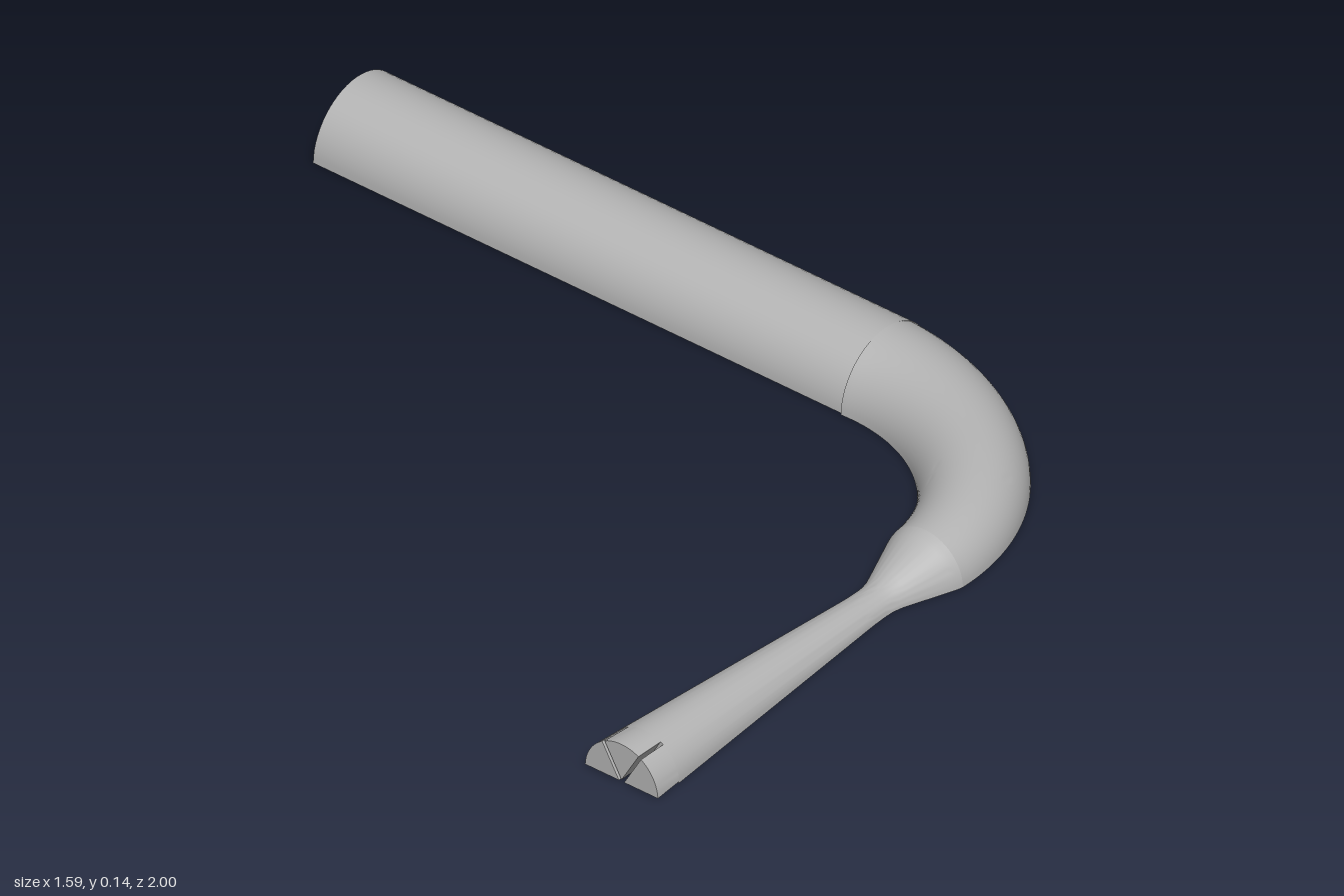
import * as THREE from 'three';
import { toCreasedNormals } from 'three/addons/utils/BufferGeometryUtils.js';

const SEG = 28;
const AXIS_Z = 0.895;

// Flat-bottomed half circle outline, as [sideways, up] pairs
function halfDisc(r) {
  return Array.from({ length: SEG + 1 }, (_, i) => {
    const a = (i / SEG) * Math.PI;
    return [r * Math.cos(a), r * Math.sin(a)];
  });
}

// Sixth of a disc, inset by h on its straight edges so that slots remain between neighbours
function wedge(r, start, h) {
  const inset = Math.asin(h / r);
  const mid = start + Math.PI / 6;
  const points = [[2 * h * Math.cos(mid), 2 * h * Math.sin(mid)]];
  for (let i = 0; i <= 10; i++) {
    const a = start + inset + (i / 10) * (Math.PI / 3 - 2 * inset);
    points.push([r * Math.cos(a), r * Math.sin(a)]);
  }
  return points;
}

// Place an outline at (x, z) with its sideways direction along (nx, nz)
function place(outline, x, z, nx, nz) {
  return outline.map(([s, y]) => [x + nx * s, y, z + nz * s]);
}

// Join closed cross-sections into a capped solid
function loft(sections) {
  const pos = [];
  const tri = (a, b, c) => pos.push(...a, ...b, ...c);
  const n = sections[0].length;
  for (let i = 0; i < sections.length - 1; i++) {
    const A = sections[i], B = sections[i + 1];
    for (let j = 0; j < n; j++) {
      const k = (j + 1) % n;
      tri(A[j], B[j], A[k]);
      tri(A[k], B[j], B[k]);
    }
  }
  const first = sections[0], last = sections[sections.length - 1];
  for (let j = 1; j < n - 1; j++) {
    tri(first[0], first[j], first[j + 1]);
    tri(last[0], last[j + 1], last[j]);
  }
  const g = new THREE.BufferGeometry();
  g.setAttribute('position', new THREE.Float32BufferAttribute(pos, 3));
  return toCreasedNormals(g, 0.45);
}

export function createModel() {
  const model = new THREE.Group();
  model.name = 'halfRoundBentTool';
  const grey = new THREE.MeshStandardMaterial({ color: 0xb4b4b4 });
  grey.name = 'grey';

  const add = (name, sections, parent = model) => {
    const mesh = new THREE.Mesh(loft(sections), grey);
    mesh.name = name;
    parent.add(mesh);
  };

  // Straight handle
  add('handle', [0.41, -1].map((z) => place(halfDisc(0.14), 0.651, z, 1, 0)));

  // Quarter bend, widening toward the handle
  const bend = [];
  for (let i = 0; i <= 36; i++) {
    const t = i / 36, a = (t * Math.PI) / 2;
    const s = Math.sin(a), c = Math.cos(a);
    bend.push(place(halfDisc(0.1 + 0.041 * t), 0.19 + 0.457 * s, 0.41 + (AXIS_Z - 0.41) * c, s, c));
  }
  add('elbow', bend);

  // Flared shaft with a narrow neck: [x, radius]
  const profile = [
    [-0.72, 0.092], [-0.05, 0.0462], [-0.025, 0.0447], [0.01, 0.044], [0.03, 0.045],
    [0.05, 0.049], [0.07, 0.056], [0.165, 0.0925], [0.18, 0.0975], [0.19, 0.1],
  ];
  add('taperedShaft', profile.map(([x, r]) => place(halfDisc(r), x, AXIS_Z, 0, 1)));

  // Slotted tip made of three prongs
  const tip = new THREE.Group();
  tip.name = 'slottedTip';
  for (let k = 0; k < 3; k++) {
    add('prong' + (k + 1), [[-0.795, 0.097], [-0.72, 0.092]].map(
      ([x, r]) => place(wedge(r, (k * Math.PI) / 3, 0.004), x, AXIS_Z, 0, 1)), tip);
  }
  model.add(tip);
  return model;
}
